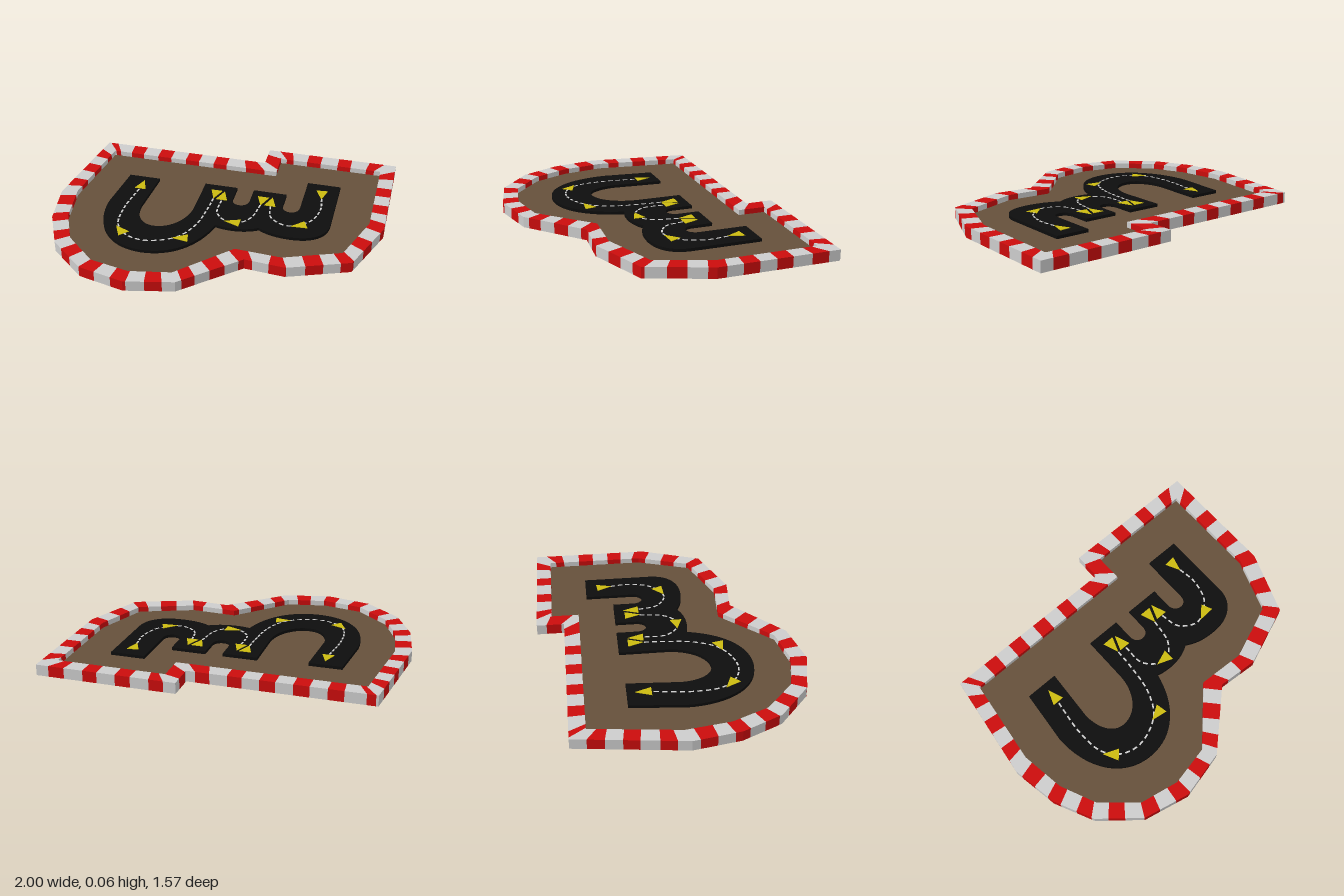
import * as THREE from 'three';

const mat = (name, color, side = THREE.FrontSide) => {
  const m = new THREE.MeshStandardMaterial({ color, side });
  m.name = name;
  return m;
};

const WALL_TOP = 0.065, FLOOR_BOTTOM = 0.018, FLOOR_TOP = 0.033, ROAD_TOP = 0.051, PAINT_TOP = 0.054;

// Barrier corners: [outer x, outer z, inner x, inner z]
const corners = [
  [-0.914, -0.623, -0.84, -0.53], [0.163, -0.623, 0.257, -0.53],
  [0.163, -0.79, 0.257, -0.698], [1, -0.79, 0.909, -0.698],
  [1, -0.065, 0.909, -0.1], [0.861, 0.307, 0.797, 0.227],
  [0.503, 0.444, 0.465, 0.356], [0.262, 0.425, 0.187, 0.34],
  [-0.059, 0.719, -0.1, 0.639], [-0.342, 0.783, -0.342, 0.687],
  [-0.62, 0.719, -0.578, 0.639], [-0.84, 0.532, -0.77, 0.468],
  [-0.952, 0.297, -0.866, 0.254], [-1, 0.02, -0.906, -0.01],
];

// Stripe changes along each side: axis, first colour (0 white, 1 red), coordinates on that axis
const stripes = [
  ['x', 0, -0.9, -0.85, -0.73, -0.64, -0.54, -0.45, -0.35, -0.26, -0.16, -0.075, 0.027, 0.11],
  ['z', 0, -0.64, -0.73],
  ['x', 0, 0.235, 0.32, 0.43, 0.52, 0.63, 0.715, 0.83, 0.925],
  ['z', 0, -0.72, -0.62, -0.505, -0.41, -0.31, -0.215, -0.12],
  ['z', 1, -0.02, 0.08, 0.18, 0.29],
  ['x', 1, 0.8, 0.706, 0.61, 0.508],
  ['x', 1, 0.406, 0.31],
  ['x', 1, 0.235, 0.17, 0.1, 0.03, -0.03],
  ['x', 0, -0.13, -0.225, -0.326],
  ['x', 1, -0.42, -0.524],
  ['x', 1, -0.622, -0.706, -0.78],
  ['z', 0, 0.515, 0.43, 0.34],
  ['z', 1, 0.257, 0.16, 0.065],
  ['z', 0, -0.055, -0.147, -0.25, -0.34, -0.435, -0.53],
];

// Cross-cut of the barrier at fraction t of a side; cuts are square in the middle, mitred at the ends
function cut(a, b, t) {
  const o0 = new THREE.Vector2(a[0], a[1]), o1 = new THREE.Vector2(b[0], b[1]);
  const i0 = new THREE.Vector2(a[2], a[3]), i1 = new THREE.Vector2(b[2], b[3]);
  const dir = o1.clone().sub(o0), len = dir.length();
  dir.normalize();
  const along0 = i0.clone().sub(o0).dot(dir), along1 = i1.clone().sub(o1).dot(dir);
  const reach = Math.min(0.2, len / 2), d = t * len;
  const shift = along0 * Math.max(0, 1 - d / reach) + along1 * Math.max(0, 1 - (len - d) / reach);
  const along = d + shift;
  const f = (along - along0) / (len + along1 - along0);
  return { o: o0.clone().lerp(o1, t), i: i0.clone().lerp(i1, f) };
}

// Four long faces of one barrier block between two cuts
function pushBlock(out, p, q) {
  const ring = (c) => [[c.o, 0], [c.o, WALL_TOP], [c.i, WALL_TOP], [c.i, 0]].map(([v, y]) => [v.x, y, v.y]);
  const A = ring(p), B = ring(q);
  for (let k = 0; k < 4; k++) {
    const n = (k + 1) % 4;
    out.push(...A[k], ...A[n], ...B[n], ...A[k], ...B[n], ...B[k]);
  }
}

function barrierGeometries() {
  const data = [[], []];
  stripes.forEach(([axis, first, ...marks], s) => {
    const a = corners[s], b = corners[(s + 1) % corners.length], k = axis === 'x' ? 0 : 1;
    const ts = [0, ...marks.map((m) => (m - a[k]) / (b[k] - a[k])), 1];
    for (let j = 0; j < ts.length - 1; j++) {
      pushBlock(data[(first + j) % 2], cut(a, b, ts[j]), cut(a, b, ts[j + 1]));
    }
  });
  return data.map((d) => {
    const g = new THREE.BufferGeometry();
    g.setAttribute('position', new THREE.Float32BufferAttribute(d, 3));
    g.computeVertexNormals();
    return g;
  });
}

// Flat slab from a plan shape drawn in (x, z)
function slab(shape, bottom, top) {
  const g = new THREE.ExtrudeGeometry(shape, { depth: top - bottom, bevelEnabled: false, curveSegments: 16 });
  g.rotateX(Math.PI / 2);
  g.translate(0, top, 0);
  return g;
}

function polygon(points) {
  return new THREE.Shape(points.map(([x, z]) => new THREE.Vector2(x, z)));
}

function roadShape() {
  const s = new THREE.Shape();
  s.moveTo(-0.652, -0.291);
  s.lineTo(-0.455, -0.291);
  s.lineTo(-0.476, 0.03);
  s.bezierCurveTo(-0.47, 0.14, -0.42, 0.217, -0.342, 0.217);
  s.bezierCurveTo(-0.235, 0.217, -0.155, 0.1, -0.155, -0.03);
  s.lineTo(-0.155, -0.307);
  // two rounded notches between the arms
  for (const [x0, x1] of [[0.053, 0.16], [0.369, 0.476]]) {
    s.lineTo(x0, -0.307);
    s.lineTo(x0, -0.18);
    s.bezierCurveTo(x0, -0.1, x1, -0.1, x1, -0.18);
    s.lineTo(x1, x1 < 0.3 ? -0.307 : -0.473);
  }
  s.lineTo(0.684, -0.473);
  s.lineTo(0.684, -0.05);
  s.bezierCurveTo(0.684, 0.06, 0.61, 0.134, 0.47, 0.134);
  s.bezierCurveTo(0.39, 0.134, 0.33, 0.12, 0.275, 0.086);
  s.bezierCurveTo(0.2, 0.135, 0.1, 0.14, 0.016, 0.118);
  s.bezierCurveTo(-0.03, 0.33, -0.16, 0.465, -0.342, 0.465);
  s.bezierCurveTo(-0.55, 0.465, -0.684, 0.28, -0.684, 0.03);
  s.closePath();
  return s;
}

// Centre lines followed by the dashes
const lanes = [
  [[-0.545, -0.15], [-0.57, 0.08], [-0.55, 0.25], [-0.476, 0.34], [-0.35, 0.372], [-0.18, 0.3], [-0.1, 0.16], [-0.07, -0.05], [-0.065, -0.16]],
  [[-0.011, -0.15], [-0.005, -0.01], [0.06, 0.06], [0.14, 0.067], [0.205, 0.0], [0.235, -0.16]],
  [[0.294, -0.16], [0.326, -0.035], [0.433, 0.024], [0.556, -0.05], [0.6, -0.185], [0.588, -0.32]],
];

// Arrows: tip x, tip z, heading x, heading z
const arrows = [
  [-0.542, -0.245, 0, -1], [-0.065, -0.152, 0, 1], [-0.013, -0.245, 0, -1],
  [0.235, -0.148, 0, 1], [0.292, -0.25, 0, -1], [0.588, -0.306, 0.1, 1],
  [-0.555, 0.272, -0.7, -0.65], [-0.2, 0.31, -0.95, 0.2],
  [0.058, 0.067, -1, 0], [0.455, 0.026, -0.9, 0.4],
];

export function createModel() {
  const group = new THREE.Group();
  const white = mat('white', 0xcccccc), red = mat('red', 0xcb0c0c), dirt = mat('dirt brown', 0x65503b);
  const asphalt = mat('asphalt black', 0x0d0d0d), yellow = mat('yellow', 0xcbba10);
  const add = (name, geometry, material, parent = group) => {
    const m = new THREE.Mesh(geometry, material);
    m.name = name;
    parent.add(m);
    return m;
  };

  // Striped barrier
  const [whiteBlocks, redBlocks] = barrierGeometries();
  add('whiteBarrierBlocks', whiteBlocks, white);
  add('redBarrierBlocks', redBlocks, red);

  // Ground and road
  add('ground', slab(polygon(corners.map((c) => [c[2], c[3]])), FLOOR_BOTTOM, FLOOR_TOP), dirt);
  add('road', slab(roadShape(), FLOOR_TOP, ROAD_TOP), asphalt);

  // Dashed lane lines
  const dashes = new THREE.Group();
  dashes.name = 'laneDashes';
  group.add(dashes);
  const dash = new THREE.BoxGeometry(0.01, 0.002, 0.03);
  for (const lane of lanes) {
    const curve = new THREE.CatmullRomCurve3(lane.map(([x, z]) => new THREE.Vector3(x, ROAD_TOP + 0.001, z)));
    const count = Math.round(curve.getLength() / 0.05);
    for (let i = 0; i < count; i++) {
      const u = (i + 0.5) / count, m = add('laneDash', dash, white, dashes);
      const dir = curve.getTangentAt(u);
      m.position.copy(curve.getPointAt(u));
      m.rotation.y = Math.atan2(dir.x, dir.z);
    }
  }

  // Direction arrows
  const arrow = slab(polygon([[0, 0], [-0.036, -0.095], [0.036, -0.095]]), ROAD_TOP, PAINT_TOP);
  for (const [x, z, dx, dz] of arrows) {
    const m = add('directionArrow', arrow, yellow);
    m.position.set(x, 0, z);
    m.rotation.y = Math.atan2(dx, dz);
  }
  return group;
}
